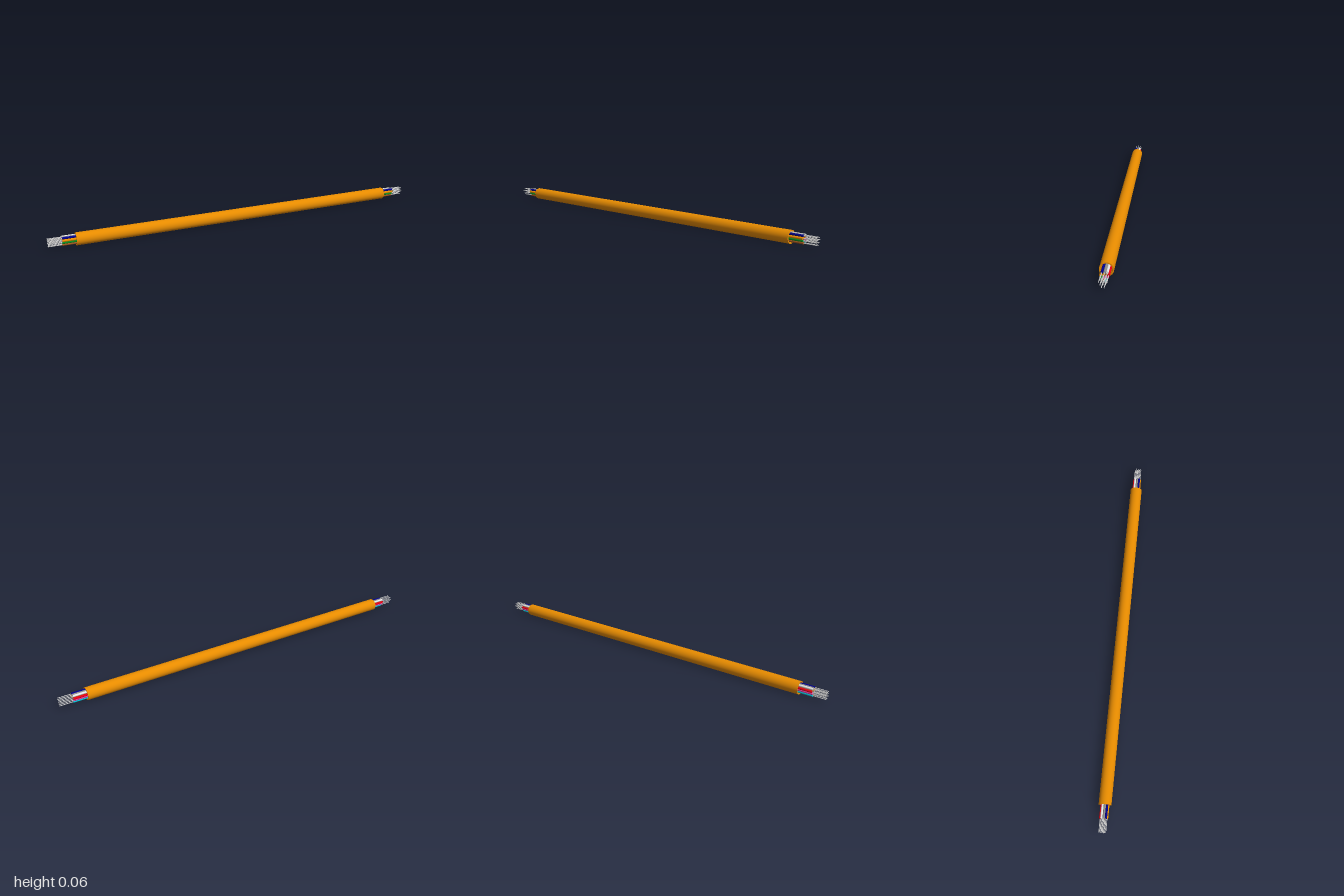
import * as THREE from 'three';
import { mergeGeometries } from 'three/addons/utils/BufferGeometryUtils.js';

const material = (name, color) => {
  const m = new THREE.MeshStandardMaterial({ color });
  m.name = name;
  return m;
};

export function createModel() {
  const orange = material('orange', 0xe88c00);
  const silver = material('silver', 0xcccccc);
  const slate = material('slate', 0x8c8c8c);
  const navy = material('navy', 0x00008c);
  const white = material('white', 0xffffff);
  const brown = material('brown', 0xa0561e);
  const red = material('red', 0xe60012);
  const green = material('green', 0x0a8c1e);
  const pink = material('pink', 0xe63ca0);
  const cyan = material('cyan', 0x00c8dc);

  const group = new THREE.Group();
  group.name = 'multicoreCable';
  const axisY = 0.031;

  function add(name, geometry, mat, y, z) {
    const mesh = new THREE.Mesh(geometry, mat);
    mesh.name = name;
    mesh.position.set(0, y, z);
    group.add(mesh);
  }

  // Hollow jacket: outer wall, end ring, inner wall, end ring
  const half = 0.87, outer = 0.031, inner = 0.026;
  const corners = [[outer, -half], [outer, half], [inner, half], [inner, -half]]
    .map(([r, h]) => new THREE.Vector2(r, h));
  const walls = corners.map((p, i) =>
    new THREE.LatheGeometry([p, corners[(i + 1) % 4]], 48));
  add('jacket', mergeGeometries(walls).rotateZ(-Math.PI / 2), orange, axisY, 0);

  // Insulated wires in four packed rows, each with a bare conductor
  const insulation = new THREE.CylinderGeometry(0.0054, 0.0054, 1.87, 24).rotateZ(Math.PI / 2);
  const conductor = new THREE.CylinderGeometry(0.0018, 0.0018, 2, 16).rotateZ(Math.PI / 2);
  const pitch = 0.0109;
  const rows = [
    { y: 0.0475, wires: [navy, slate, white] },
    { y: 0.0363, wires: [orange, orange, brown, red] },
    { y: 0.0251, wires: [green, pink, pink] },
    { y: 0.0139, wires: [brown, cyan] },
  ];
  rows.forEach(({ y, wires }, r) => wires.forEach((mat, i) => {
    const z = ((wires.length - 1) / 2 - i) * pitch;
    add(`insulation${r + 1}_${i + 1}`, insulation, mat, y, z);
    add(`conductor${r + 1}_${i + 1}`, conductor, silver, y, z);
  }));

  return group;
}
